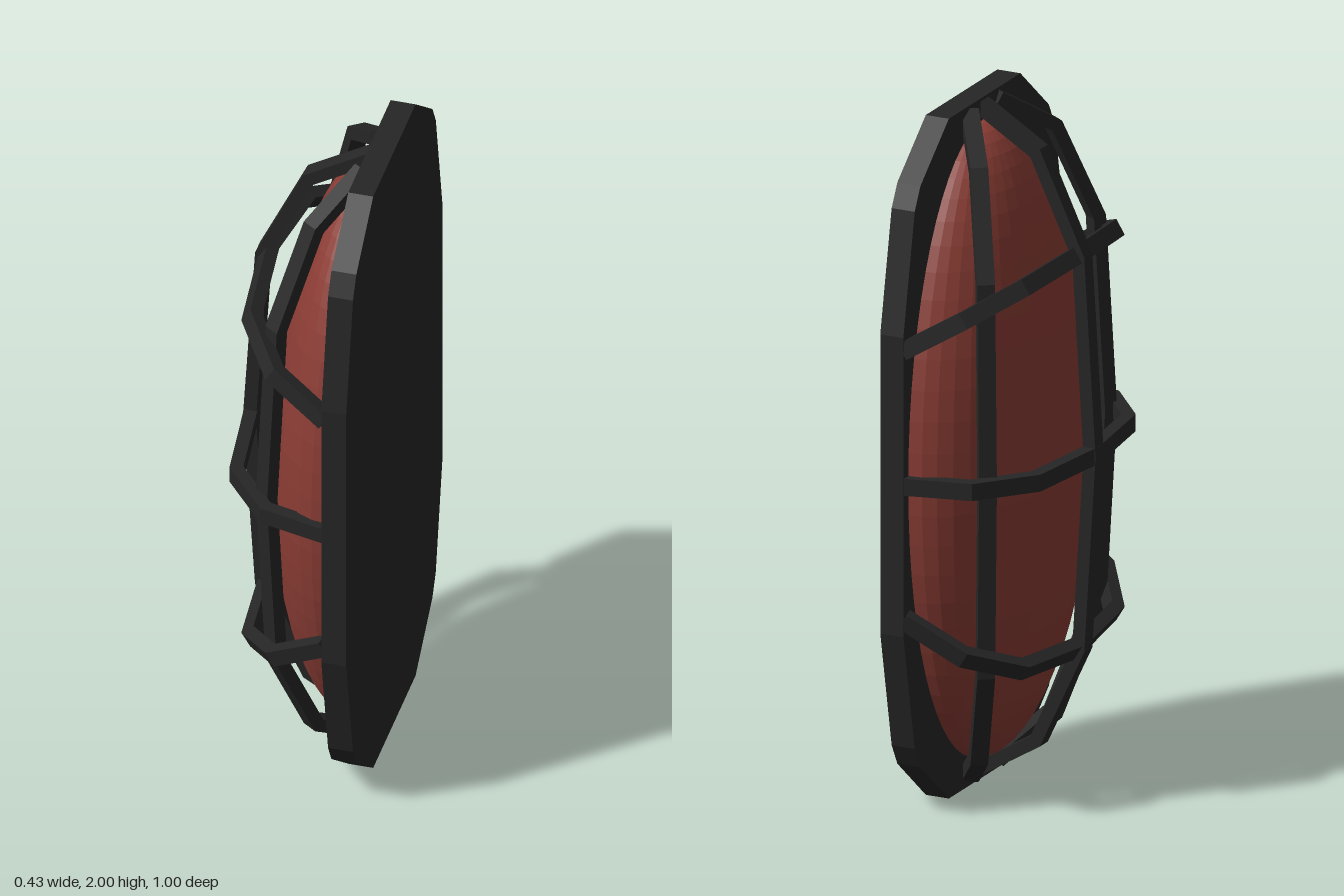
import * as THREE from 'three';

const PLATE_X = 0.14; // mounting face of the plate

// Mitred rectangular bar along 2D points [along, out], laid in the plane of the axes A and O
function barGeometry(points, origin, A, O, width = 0.05, thick = 0.038) {
  const N = new THREE.Vector3().crossVectors(A, O).normalize();
  const pts = points.map(p => new THREE.Vector2(...p));
  const dirs = pts.slice(1).map((p, i) => p.clone().sub(pts[i]).normalize());
  const pos = [], idx = [];
  pts.forEach((p, i) => {
    const d0 = dirs[Math.max(i - 1, 0)], d1 = dirs[Math.min(i, dirs.length - 1)];
    const d = d0.clone().add(d1).normalize();
    const h = thick / 2 / d.dot(d0); // widen at the mitre
    for (const [m, n] of [[h, -1], [h, 1], [-h, 1], [-h, -1]]) {
      const v = origin.clone()
        .addScaledVector(A, p.x - d.y * m)
        .addScaledVector(O, p.y + d.x * m)
        .addScaledVector(N, n * width / 2);
      pos.push(v.x, v.y, v.z);
    }
  });
  const last = (pts.length - 1) * 4;
  for (let i = 0; i < last; i += 4) {
    for (let j = 0; j < 4; j++) {
      const k = (j + 1) % 4;
      idx.push(i + j, i + k, i + 4 + k, i + j, i + 4 + k, i + 4 + j);
    }
  }
  idx.push(0, 3, 2, 0, 2, 1, last, last + 1, last + 2, last, last + 2, last + 3);
  const g = new THREE.BufferGeometry();
  g.setAttribute('position', new THREE.Float32BufferAttribute(pos, 3));
  g.setIndex(idx);
  const flat = g.toNonIndexed();
  flat.computeVertexNormals();
  return flat;
}

// Complete a half profile, from its end to the middle, by mirroring it
const arch = half => [
  ...half.map(([a, o]) => [-a, o]),
  ...half.slice(0, -1).reverse(),
];

export function createModel() {
  const model = new THREE.Group();
  model.name = 'cagedWallLamp';
  const blackMetal = new THREE.MeshStandardMaterial({ color: 0x262626 });
  blackMetal.name = 'blackMetal';
  const redGlass = new THREE.MeshStandardMaterial({ color: 0x8a3c34 });
  redGlass.name = 'redGlass';
  redGlass.flatShading = true;

  const add = (name, geometry, material, parent = model) => {
    const mesh = new THREE.Mesh(geometry, material);
    mesh.name = name;
    parent.add(mesh);
    return mesh;
  };

  // Back plate with clipped corners
  const corner = [[0.5, 0.44], [0.43, 0.79], [0.395, 0.855], [0.22, 1]];
  const mirrored = [...corner].reverse().map(([z, y]) => [-z, y]);
  const upper = [...corner, ...mirrored];
  const outline = [...upper, ...upper.map(([z, y]) => [-z, -y])];
  const plate = new THREE.ExtrudeGeometry(
    new THREE.Shape(outline.map(p => new THREE.Vector2(...p))),
    { depth: 0.072, bevelEnabled: false });
  plate.rotateY(Math.PI / 2).translate(PLATE_X, 1, 0);
  add('backPlate', plate, blackMetal);

  // Half ellipsoid lens
  const lens = new THREE.SphereGeometry(1, 20, 32, -Math.PI / 2, Math.PI);
  lens.scale(0.252, 0.935, 0.47).translate(PLATE_X, 1, 0);
  add('lens', lens, redGlass);

  // Cage: three upright and three cross bars, the outer ones leaning outwards
  const cage = new THREE.Group();
  cage.name = 'cage';
  model.add(cage);
  const upright = arch([[0.975, -0.01], [0.865, 0.17], [0.575, 0.305], [0, 0.34]]);
  const cross = arch([[0.48, -0.01], [0.435, 0.18], [0.285, 0.305], [0, 0.34]]);
  const Y = new THREE.Vector3(0, 1, 0), Z = new THREE.Vector3(0, 0, 1);
  for (const s of [-1, 0, 1]) {
    add('uprightBar', barGeometry(upright, new THREE.Vector3(PLATE_X, 1, s * 0.09),
      Y, new THREE.Vector3(-1, 0, s * 1.43).normalize()), blackMetal, cage);
    add('crossBar', barGeometry(cross, new THREE.Vector3(PLATE_X, 1 + s * 0.4, 0),
      Z, new THREE.Vector3(-1, s * 0.61, 0).normalize()), blackMetal, cage);
  }
  return model;
}
